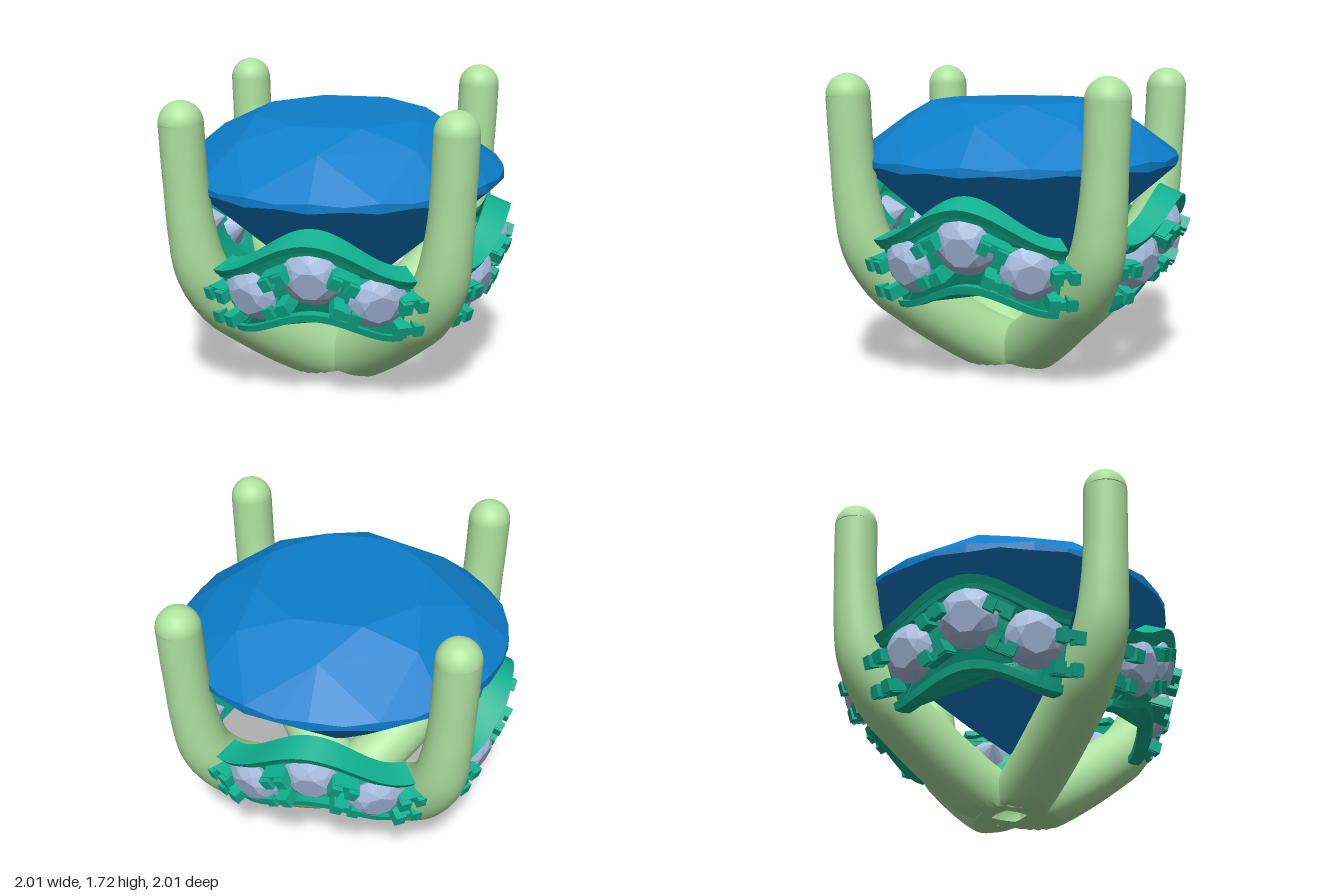
import * as THREE from 'three';
import { toCreasedNormals } from 'three/addons/utils/BufferGeometryUtils.js';
import { ConvexGeometry } from 'three/addons/geometries/ConvexGeometry.js';

const mat = (color, flatShading = false) =>
  new THREE.MeshStandardMaterial({ color, flatShading, side: THREE.DoubleSide });
const GEM = mat(0x0d7ecb, true);
const SMALL_GEM = mat(0xaabfe0, true);
const BAND = mat(0x10b090);
const PRONG = mat(0xaee3a0);

const SPAN = 0.595;                                   // half angle of one side band
const lerp = THREE.MathUtils.lerp;
const coneRadius = y => lerp(0.8, 0.93, (y - 0.6) / 0.4);
// how far the band sags at an angle; the upper edge sags more
const drop = (a, y) =>
  lerp(0.13, 0.215, (y - 0.56) / 0.5) * 0.5 * (1 - Math.cos(Math.PI * a / SPAN));
const bend = (a, r, y) => new THREE.Vector3(r * Math.sin(a), y - drop(a, y), r * Math.cos(a));

function add(parent, name, geometry, material) {
  const mesh = new THREE.Mesh(geometry, material);
  mesh.name = name;
  parent.add(mesh);
  return mesh;
}

// Round brilliant cut as the hull of its facet corners
function brilliant() {
  const pts = [new THREE.Vector3(0, 0.39, 0)];
  const put = (deg, r, y) => {
    const a = THREE.MathUtils.degToRad(deg);
    pts.push(new THREE.Vector3(r * Math.cos(a), y, r * Math.sin(a)));
  };
  for (let k = 0; k < 8; k++) {
    put(45 * k + 22.5, 0.5, 1.55);                    // table
    put(45 * k, 0.7, 1.45);                           // star points
    put(45 * k, 0.25, 0.589);                         // pavilion
  }
  for (let k = 0; k < 32; k++) {                      // scalloped girdle
    put(11.25 * k, 0.94, k % 2 ? 1.235 : 1.25);
    put(11.25 * k, 0.94, k % 2 ? 1.21 : 1.195);
  }
  return new ConvexGeometry(pts);
}

// Tapered claw rising along a diagonal, cut off at the base
function prong() {
  const group = new THREE.Group();
  group.name = 'prong';
  const path = [[0, 0.03], [0.22, 0.2], [0.47, 0.45], [0.565, 0.56], [0.66, 0.76],
    [0.7, 1.0], [0.72, 1.3], [0.73, 1.6]];
  const curve = new THREE.CatmullRomCurve3(path.map(([x, y]) => new THREE.Vector3(x, y, x)));
  const steps = 60, sides = 32;
  const geo = new THREE.TubeGeometry(curve, steps, 1, sides);
  const pos = geo.attributes.position, v = new THREE.Vector3();
  for (let i = 0; i <= steps; i++) {
    const c = curve.getPointAt(i / steps);
    const r = lerp(0.17, 0.122, THREE.MathUtils.smoothstep(c.y, 0.3, 1.3));
    for (let j = 0; j <= sides; j++) {
      const n = i * (sides + 1) + j;
      v.fromBufferAttribute(pos, n).sub(c).multiplyScalar(r).add(c);
      pos.setXYZ(n, v.x, Math.max(v.y, 0.02 - 0.3 * v.x * v.x, 0), v.z);
    }
  }
  add(group, 'prongShaft', toCreasedNormals(geo, 0.6), PRONG);
  const tip = add(group, 'prongTip',
    new THREE.SphereGeometry(0.122, 32, 12, 0, Math.PI * 2, 0, Math.PI / 2), PRONG);
  tip.position.set(0.73, 1.6, 0.73);
  return group;
}

// Four-cornered profile swept along the band; corners [radius, y]
function rail(outerTop, outerLow, innerTop, innerLow) {
  const geo = new THREE.BoxGeometry(2, 1, 1, 36, 1, 1);
  const pos = geo.attributes.position;
  for (let i = 0; i < pos.count; i++) {
    const top = pos.getY(i) > 0, out = pos.getZ(i) > 0;
    const [r, y] = out ? (top ? outerTop : outerLow) : (top ? innerTop : innerLow);
    const p = bend(pos.getX(i) * SPAN, r, y);
    pos.setXYZ(i, p.x, p.y, p.z);
  }
  geo.computeVertexNormals();
  return geo;
}

const STONES = [-0.4, 0, 0.4];

// Conical wall with a drilled seat behind each stone
function wall() {
  const k = 0.87, n = 30, outline = [];
  for (let i = 0; i <= n; i++) outline.push(new THREE.Vector2(lerp(-SPAN, SPAN, i / n) * k, 0.58));
  for (let i = n; i >= 0; i--) outline.push(new THREE.Vector2(lerp(-SPAN, SPAN, i / n) * k, 1.02));
  const shape = new THREE.Shape(outline);
  for (const a of STONES)
    shape.holes.push(new THREE.Path().absarc(a * k, 0.825, 0.1, 0, Math.PI * 2, true));
  const geo = new THREE.ExtrudeGeometry(shape, { depth: 0.05, bevelEnabled: false, curveSegments: 24 });
  const pos = geo.attributes.position;
  for (let i = 0; i < pos.count; i++) {
    const y = pos.getY(i);
    const p = bend(pos.getX(i) / k, coneRadius(y) - 0.05 + pos.getZ(i), y);
    pos.setXYZ(i, p.x, p.y, p.z);
  }
  return toCreasedNormals(geo, 0.5);
}

// Seat an object on the cone, facing outward and following the wave
function seat(object, a, y, lift) {
  object.position.copy(bend(a, coneRadius(y) + lift, y));
  const slope = (drop(a + 0.01, y) - drop(a - 0.01, y)) / (0.02 * coneRadius(y));
  object.rotation.set(0.31, a, -Math.atan(slope), 'YXZ');
}

function sideBand(stoneGeo) {
  const group = new THREE.Group();
  group.name = 'sideBand';
  add(group, 'bandWall', wall(), BAND);
  add(group, 'upperRail', rail([0.985, 1.035], [0.96, 0.995], [0.85, 1.092], [0.83, 1.045]), BAND);
  add(group, 'upperRailStep', rail([0.955, 1.0], [0.94, 0.97], [0.86, 1.03], [0.86, 0.97]), BAND);
  add(group, 'lowerRail', rail([0.835, 0.605], [0.82, 0.56], [0.74, 0.605], [0.74, 0.56]), BAND);
  for (const a of STONES) {
    const stone = add(group, 'smallStone', stoneGeo, SMALL_GEM);
    seat(stone, a, 0.825, 0.01);
    stone.scale.setScalar(a ? 0.97 : 1);
  }
  // Claw blocks in pairs above and below the gaps between stones
  const claw = new THREE.BoxGeometry(0.06, 0.07, 0.15);
  const bridge = new THREE.BoxGeometry(0.14, 0.05, 0.1);
  for (const a of [-0.59, -0.2, 0.2, 0.59])
    for (const y of [0.9, 0.68]) {
      const clawSet = new THREE.Group();
      clawSet.name = 'stoneClaws';
      seat(clawSet, a, y, 0.03);
      add(clawSet, 'clawBridge', bridge, BAND);
      for (const s of [-1, 1])
        add(clawSet, 'claw', claw, BAND).position.set(s * 0.05, y > 0.8 ? -0.015 : 0.015, 0);
      group.add(clawSet);
    }
  return group;
}

export function createModel() {
  const model = new THREE.Group();
  model.name = 'gemSetting';
  const gemGeo = brilliant();
  add(model, 'centreStone', gemGeo, GEM);

  // Small stones share the cut, turned to face outward
  const s = 0.165 / 0.94;
  const stoneGeo = gemGeo.clone().translate(0, -1.22, 0).scale(s, s * 1.2, s).rotateX(Math.PI / 2);

  for (let i = 0; i < 4; i++) {
    const claw = prong();
    const band = sideBand(stoneGeo);
    claw.rotation.y = band.rotation.y = i * Math.PI / 2;
    model.add(claw, band);
  }
  return model;
}
